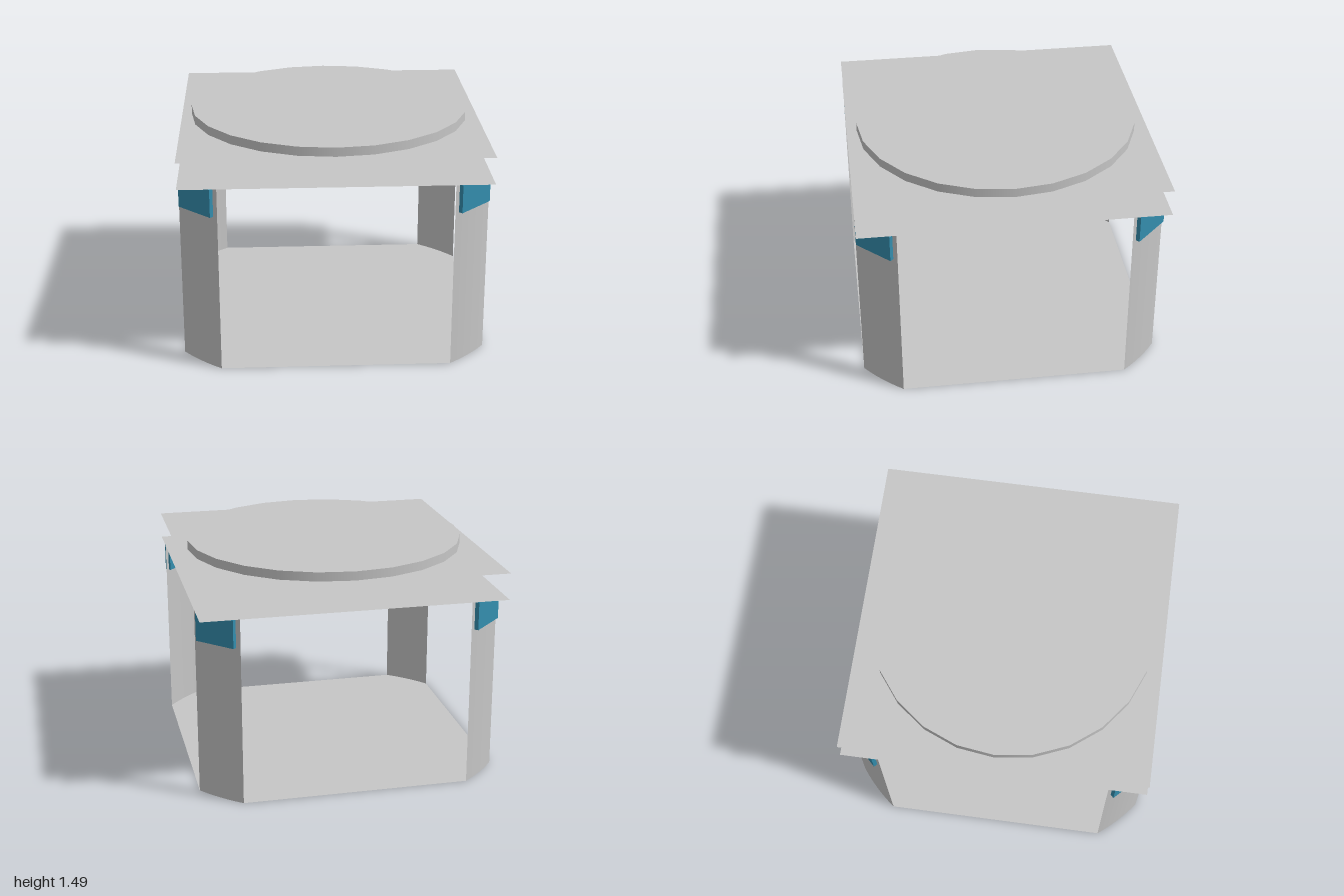
import * as THREE from 'three';

export function createModel() {
  const group = new THREE.Group();
  group.name = 'table';
  const grey = new THREE.MeshStandardMaterial({ color: 0xc6c6c6, side: THREE.DoubleSide });
  grey.name = 'light grey';
  const teal = new THREE.MeshStandardMaterial({ color: 0x348eae });
  teal.name = 'teal';

  const add = (name, geometry, material, parent = group) => {
    const mesh = new THREE.Mesh(geometry, material);
    mesh.name = name;
    parent.add(mesh);
    return mesh;
  };

  const legHeight = 1.25;
  const topHeight = 1.427;
  const arcRadius = 1.25; // the legs follow a circle that clips the square's corners
  const arcStart = Math.atan2(0.75, 1);
  const arcSpan = Math.PI / 2 - 2 * arcStart;

  // base sheet: a square with its corners cut by the circle
  const base = new THREE.Shape();
  for (let i = 0; i < 4; i++) {
    for (let j = 0; j <= 6; j++) {
      const a = i * Math.PI / 2 + arcStart + arcSpan * j / 6;
      const x = arcRadius * Math.cos(a), y = arcRadius * Math.sin(a);
      if (i + j === 0) base.moveTo(x, y);
      else base.lineTo(x, y);
    }
  }
  add('baseSheet', new THREE.ShapeGeometry(base).rotateX(-Math.PI / 2), grey);

  // two thin square sheets
  for (const [name, y] of [['lowerSheet', legHeight], ['upperSheet', topHeight]]) {
    add(name, new THREE.PlaneGeometry(2, 2).rotateX(-Math.PI / 2), grey).position.y = y;
  }

  // round top
  const discHeight = 0.06;
  add('roundTop', new THREE.CylinderGeometry(0.935, 0.935, discHeight, 24), grey)
    .position.y = topHeight + discHeight / 2 + 0.002;

  // curved corner legs, each with a block at its head
  const legGeometry = new THREE.CylinderGeometry(
    arcRadius, arcRadius, legHeight, 6, 1, true, arcStart, arcSpan);
  const blockHeight = 0.187, blockDepth = 0.042;
  const blockGeometry = new THREE.BoxGeometry(0.29, blockHeight, blockDepth);
  blockGeometry.translate(0, legHeight - 0.003 - blockHeight / 2, 1.269 - blockDepth / 2);
  blockGeometry.rotateY(Math.PI / 4);
  const names = ['frontLeft', 'backLeft', 'backRight', 'frontRight'];
  names.forEach((name, i) => {
    const corner = new THREE.Group();
    corner.name = name + 'Corner';
    corner.rotation.y = i * Math.PI / 2;
    add(name + 'Leg', legGeometry, grey, corner).position.y = legHeight / 2;
    add(name + 'Block', blockGeometry, teal, corner);
    group.add(corner);
  });

  return group;
}
